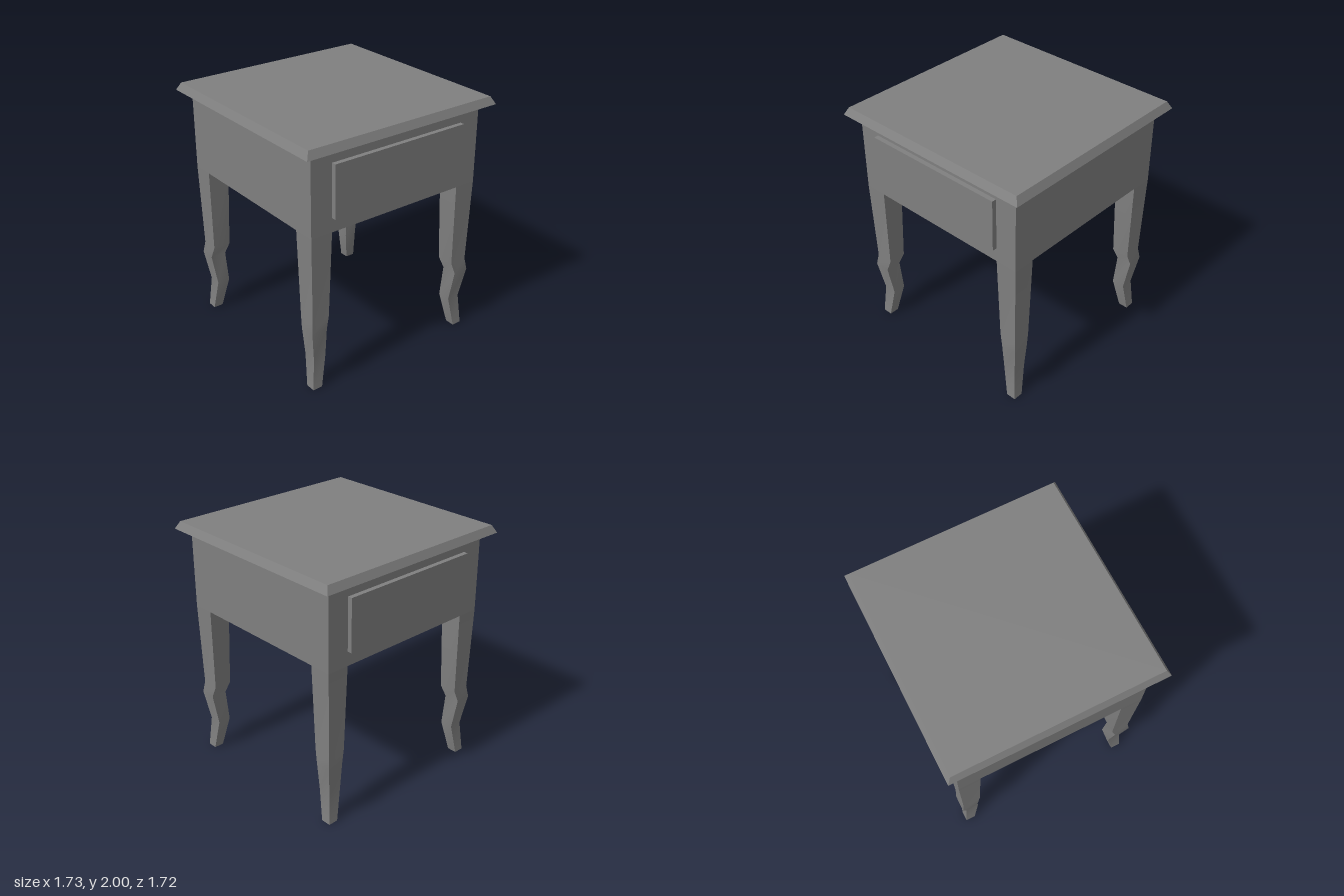
import * as THREE from 'three';

const material = new THREE.MeshStandardMaterial({ color: 0x7f7f7f });
const legMaterial = new THREE.MeshStandardMaterial({ color: 0x7f7f7f, side: THREE.DoubleSide });

// Box whose rows of corners follow rectangular sections, listed bottom to top:
// { y, x: [min, max], z: [min, max] }. Sides are smooth along y, with sharp corners between them.
function loftGeometry(sections) {
  const rows = sections.length - 1;
  const geometry = new THREE.BoxGeometry(1, 1, 1, 1, rows, 1);
  const p = geometry.attributes.position;
  for (let i = 0; i < p.count; i++) {
    const s = sections[Math.round((p.getY(i) + 0.5) * rows)];
    p.setXYZ(i, s.x[p.getX(i) > 0 ? 1 : 0], s.y, s.z[p.getZ(i) > 0 ? 1 : 0]);
  }
  geometry.computeVertexNormals();
  return geometry;
}

// Same loft without its top and bottom faces
function openLoftGeometry(sections) {
  const geometry = loftGeometry(sections);
  const [, , top, bottom] = geometry.groups;
  const index = Array.from(geometry.index.array);
  index.splice(top.start, top.count + bottom.count);
  geometry.setIndex(index);
  geometry.clearGroups();
  return geometry;
}

function part(name, geometry, mat) {
  const mesh = new THREE.Mesh(geometry, mat);
  mesh.name = name;
  return mesh;
}

const span = (half) => [-half, half];

// Curved leg outline: height, inner edge, outer edge
const legProfile = [
  [0, 0.68, 0.76],
  [0.26, 0.63, 0.737],
  [0.515, 0.645, 0.776],
  [0.61, 0.615, 0.761],
  [1.3, 0.597, 0.776],
];

export function createModel() {
  const table = new THREE.Group();
  table.name = 'sideTable';

  // Bevelled table top
  table.add(part('tableTop', loftGeometry([
    { y: 1.94, x: span(0.866), z: span(0.862) },
    { y: 2, x: span(0.834), z: span(0.83) },
  ]), material));

  // Cabinet body
  table.add(part('body', loftGeometry([
    { y: 1.3, x: span(0.776), z: span(0.773) },
    { y: 1.94, x: span(0.776), z: span(0.773) },
  ]), material));

  // Raised drawer panels, front and back
  for (const [name, z] of [['frontDrawer', [0.77, 0.81]], ['backDrawer', [-0.81, -0.77]]]) {
    table.add(part(name, loftGeometry([
      { y: 1.413, x: span(0.597), z },
      { y: 1.83, x: span(0.597), z },
    ]), material));
  }

  // Four hollow legs, mirrored about both axes
  const side = (sign, inner, outer) => (sign > 0 ? [inner, outer] : [-outer, -inner]);
  for (const sx of [-1, 1]) {
    for (const sz of [-1, 1]) {
      const name = (sz > 0 ? 'front' : 'back') + (sx > 0 ? 'Left' : 'Right') + 'Leg';
      const sections = legProfile.map(([y, inner, outer]) => ({
        y,
        x: side(sx, inner, outer),
        z: side(sz, inner - 0.003, outer - 0.003),
      }));
      table.add(part(name, openLoftGeometry(sections), legMaterial));
    }
  }
  return table;
}
